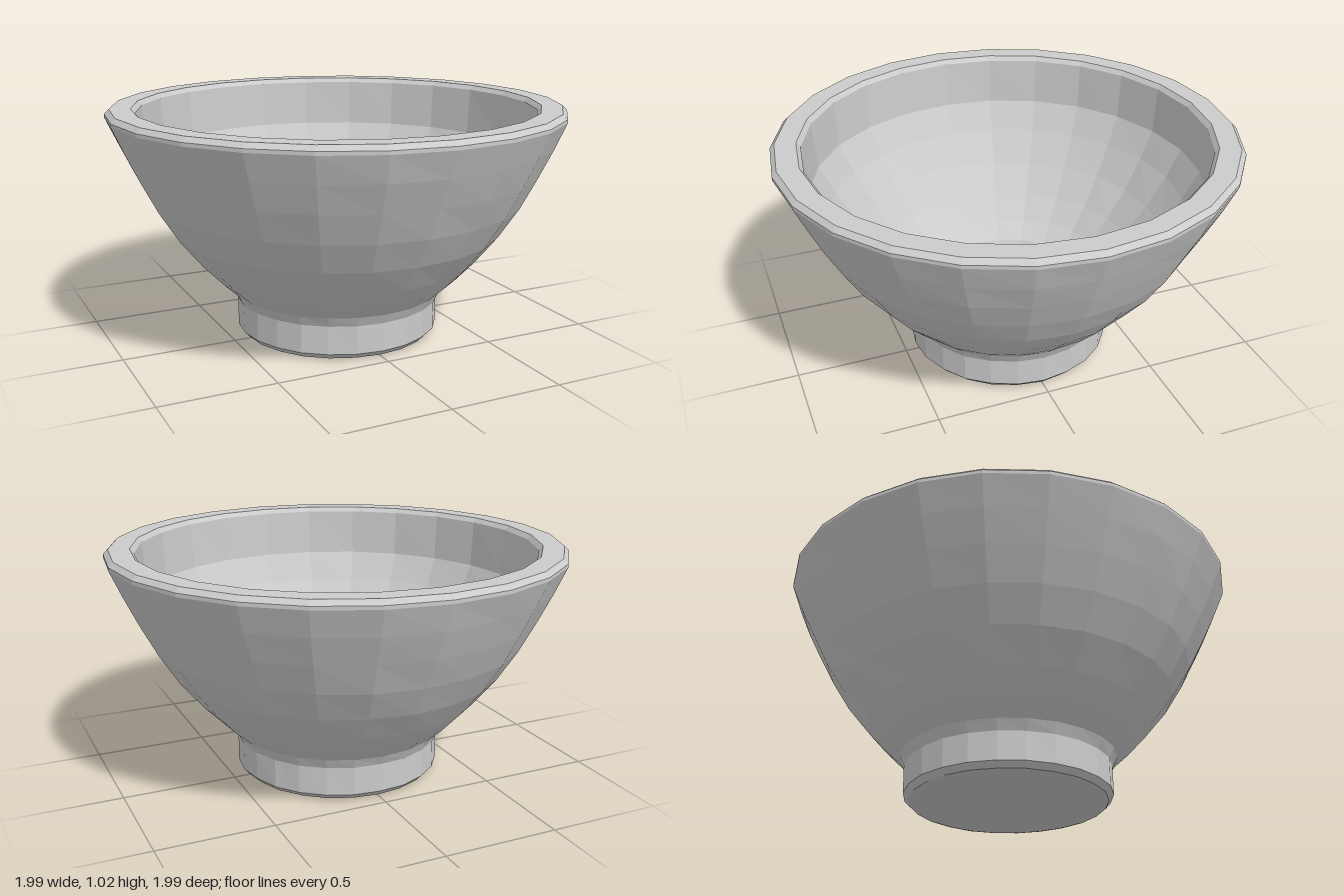
import * as THREE from 'three';

const SIDES = 24;

// Small repeatable unevenness for a hand-worked surface
function wobble(x, y, z) {
  return Math.sin(x * 17 + y * 31) * Math.cos(z * 19 - y * 23);
}

// Revolve a [radius, height] profile, then nudge the radius slightly
function turned(name, profile, material, amount) {
  const points = profile.map(([r, y]) => new THREE.Vector2(r, y));
  const geometry = new THREE.LatheGeometry(points, SIDES);
  const p = geometry.attributes.position;
  for (let i = 0; i < p.count; i++) {
    const x = p.getX(i), y = p.getY(i), z = p.getZ(i);
    // the top edge and seams between parts stay true
    const k = y > 0.99 || Math.abs(y - 0.2) < 0.02 ? 1 : 1 + amount * wobble(x, y, z);
    p.setXYZ(i, x * k, y, z * k);
  }
  geometry.computeVertexNormals();
  const mesh = new THREE.Mesh(geometry, material);
  mesh.name = name;
  return mesh;
}

export function createModel() {
  const group = new THREE.Group();
  group.name = 'bowl';
  const material = new THREE.MeshStandardMaterial({ color: 0xcccccc, flatShading: true });

  // Closed foot with a chamfered lower edge
  group.add(turned('foot', [
    [0, 0.01], [0.41, 0.005], [0.43, 0.01], [0.453, 0.035], [0.453, 0.16], [0.475, 0.205],
  ], material, 0.006));

  // Rounded outer wall
  group.add(turned('outerWall', [
    [0.475, 0.205], [0.545, 0.27], [0.63, 0.36], [0.73, 0.485], [0.815, 0.62],
    [0.885, 0.755], [0.945, 0.88], [0.995, 0.995],
  ], material, 0.004));

  // Flat rim with narrow bevels on both edges
  group.add(turned('rim', [
    [0.995, 0.995], [0.995, 1.01], [0.975, 1.03], [0.885, 1.03], [0.868, 1.01],
  ], material, 0));

  // Straight upper band, curved hollow and the well in the foot
  group.add(turned('interior', [
    [0.868, 1.01], [0.855, 0.8], [0.79, 0.67], [0.7, 0.53], [0.6, 0.4],
    [0.51, 0.3], [0.43, 0.23], [0.415, 0.2], [0.4, 0.07], [0, 0.07],
  ], material, 0.004));

  // Set the base on the ground
  group.children.forEach((part) => { part.position.y = -0.005; });
  return group;
}
